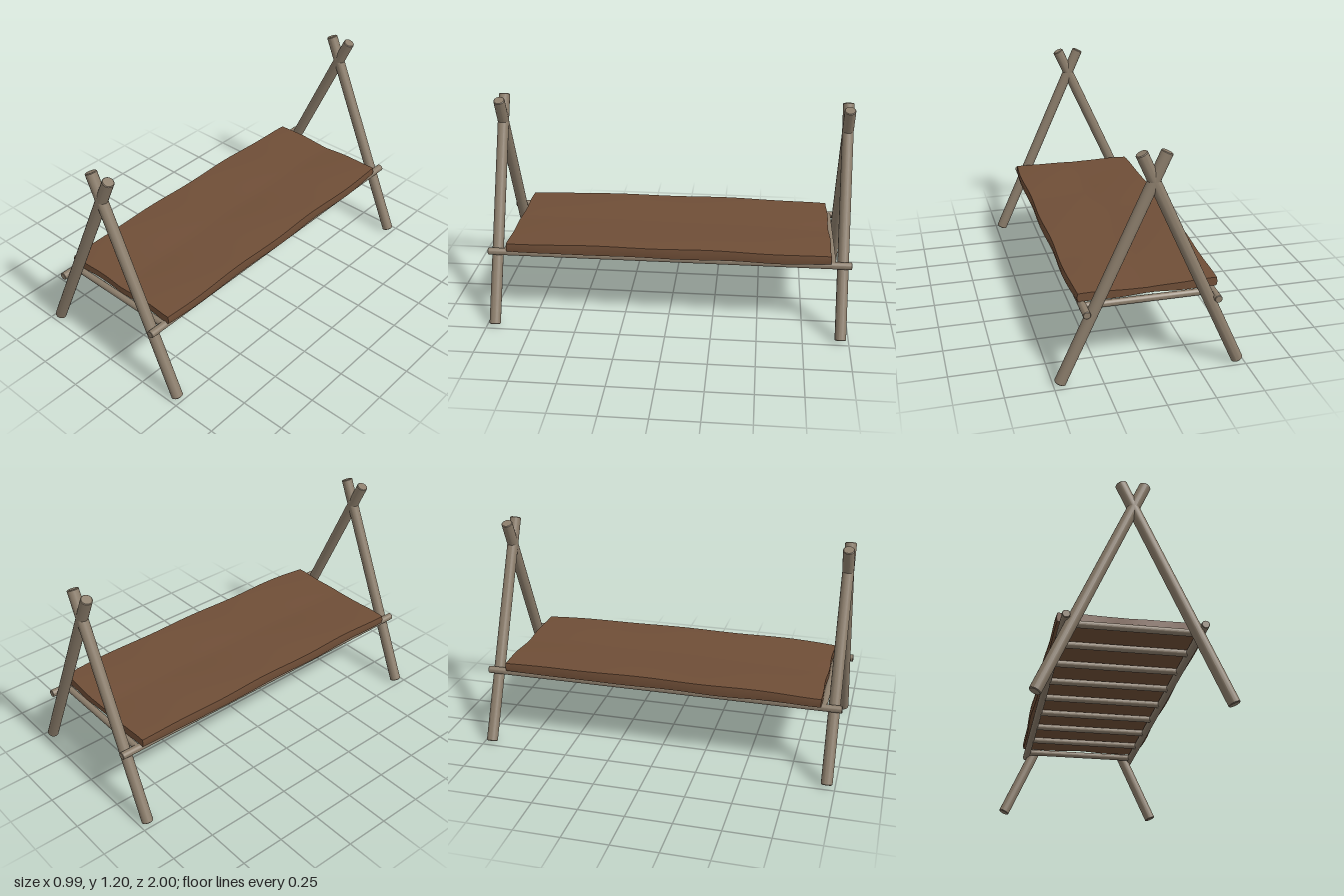
import * as THREE from 'three';
import { toCreasedNormals } from 'three/addons/utils/BufferGeometryUtils.js';

const wood = new THREE.MeshStandardMaterial({ color: 0x8b7d6b });
wood.name = 'weathered wood';
const leather = new THREE.MeshStandardMaterial({ color: 0x6f4e37 });
leather.name = 'brown hide';

// Round pole between two points, with slightly worn rims
function pole(name, from, to, r) {
  const a = new THREE.Vector3(...from), b = new THREE.Vector3(...to);
  const h = a.distanceTo(b) / 2, c = r * 0.12;
  const profile = [[0, -h], [r - c, -h], [r, -h + c], [r, h - c], [r - c, h], [0, h]]
    .map(([x, y]) => new THREE.Vector2(x, y));
  const geometry = toCreasedNormals(new THREE.LatheGeometry(profile, 20), 0.6);
  const mesh = new THREE.Mesh(geometry, wood);
  mesh.name = name;
  mesh.position.copy(a).add(b).multiplyScalar(0.5);
  mesh.quaternion.setFromUnitVectors(new THREE.Vector3(0, 1, 0), b.sub(a).normalize());
  return mesh;
}

// Hide slab: gently wavy edges, thinner ends and a shallow dip along the middle
function hideGeometry() {
  const geometry = new THREE.BoxGeometry(2, 1, 2, 20, 2, 48);
  const p = geometry.attributes.position;
  for (let i = 0; i < p.count; i++) {
    const u = p.getX(i), v = p.getZ(i), t = p.getY(i) + 0.5;
    const halfWidth = 0.368 - 0.008 * v ** 8 + 0.004 * Math.sin(v * 9 + 1.2 * u);
    const halfLength = 0.889 + 0.003 * Math.sin(u * 7 + v);
    const bulge = 0.004 * (1 - (2 * t - 1) ** 2);
    const top = 0.466 + 0.008 * Math.sin(Math.min(1, Math.abs(u)) * 2.1)
      - 0.012 * Math.abs(v) ** 3 + 0.0015 * Math.sin(v * 8 + u * 3);
    const bottom = 0.421 - 0.006 * u * u + 0.002 * Math.sin(v * 11) * Math.cos(u * 6);
    p.setXYZ(i,
      u * (halfWidth + bulge),
      bottom + (top - bottom) * t,
      v * halfLength);
  }
  return toCreasedNormals(geometry, 0.7);
}

export function createModel() {
  const model = new THREE.Group();
  model.name = 'hideCot';

  // Crossed pole frame at each end
  for (const end of [1, -1]) {
    const frame = new THREE.Group();
    frame.name = end > 0 ? 'frontFrame' : 'backFrame';
    for (const side of [1, -1]) {
      frame.add(pole(side > 0 ? 'leftLeg' : 'rightLeg',
        [side * 0.467, 0.014, end * 0.955], [-side * 0.063, 1.19, end * 0.955], 0.031));
    }
    model.add(frame);
  }

  // Long side rails
  for (const side of [1, -1]) {
    model.add(pole(side > 0 ? 'leftRail' : 'rightRail',
      [side * 0.335, 0.4, -1], [side * 0.335, 0.4, 1], 0.02));
  }

  // Cross slats between the rails
  const slats = new THREE.Group();
  slats.name = 'slats';
  for (let i = 0; i < 9; i++) {
    const z = -0.9 + i * 0.225;
    slats.add(pole('slat', [-0.335, 0.4, z], [0.335, 0.4, z], 0.018));
  }
  model.add(slats);

  // Sleeping hide
  const hide = new THREE.Mesh(hideGeometry(), leather);
  hide.name = 'hide';
  model.add(hide);

  return model;
}
